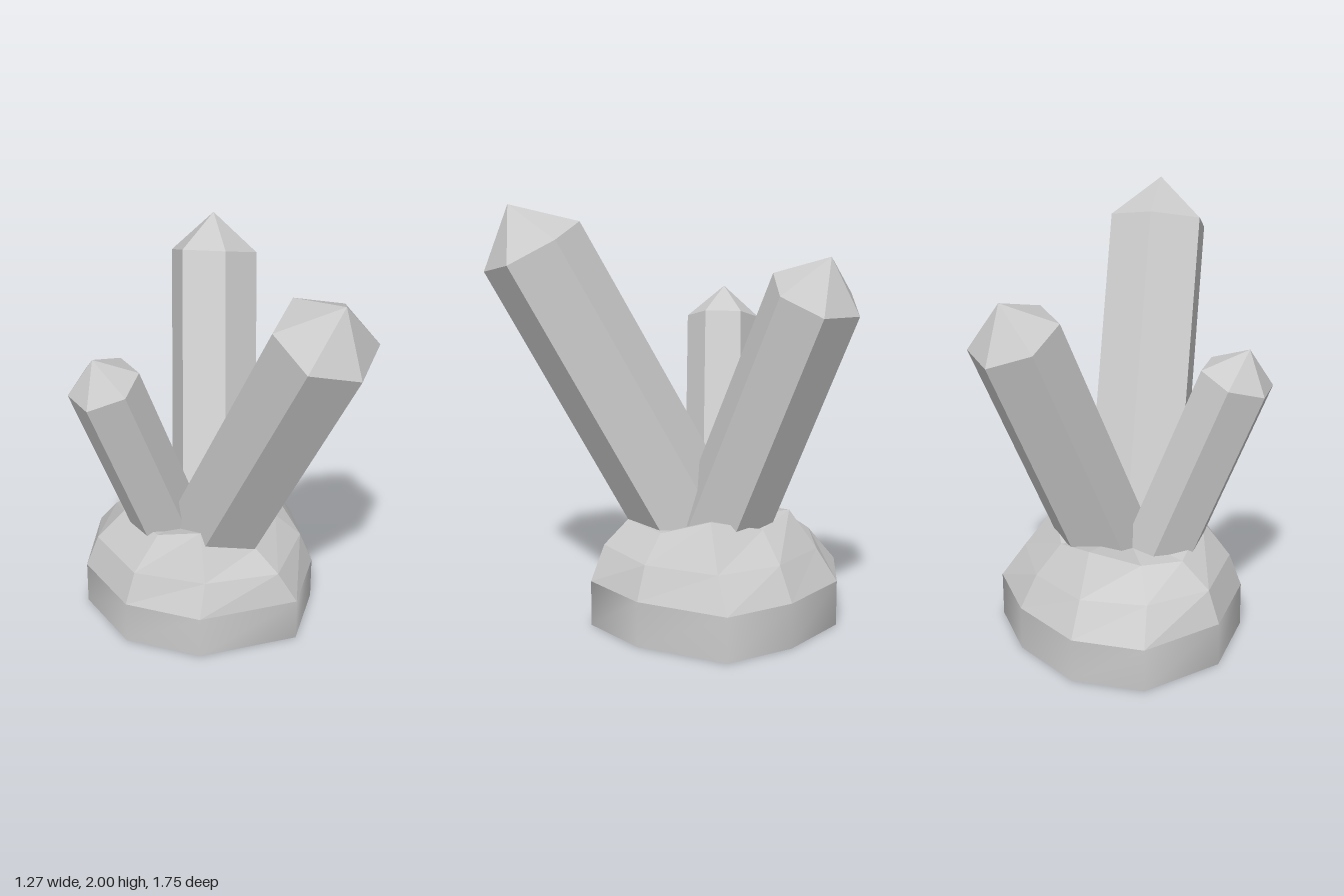
import * as THREE from 'three';

const material = (flatShading) => new THREE.MeshStandardMaterial({ color: 0xcccccc, flatShading });

function makeMesh(name, points, faces, flat = true) {
  let geometry = new THREE.BufferGeometry();
  geometry.setAttribute('position', new THREE.Float32BufferAttribute(points.flat(), 3));
  geometry.setIndex(faces.flat());
  if (flat) geometry = geometry.toNonIndexed();
  geometry.computeVertexNormals();
  const mesh = new THREE.Mesh(geometry, material(flat));
  mesh.name = name;
  return mesh;
}

// Skin between rings of n points, stored one after another from the bottom up
function skin(n, rings) {
  const faces = [];
  for (let r = 0; r < rings - 1; r++) {
    for (let i = 0; i < n; i++) {
      const a = r * n + i, b = r * n + (i + 1) % n;
      faces.push([a, b, b + n], [a, b + n, a + n]);
    }
  }
  return faces;
}

// Triangles from a ring to one point
function fan(n, start, apex, flip = false) {
  return Array.from({ length: n }, (_, i) => {
    const a = start + i, b = start + (i + 1) % n;
    return flip ? [b, a, apex] : [a, b, apex];
  });
}

// Six-sided prism that follows a leaning axis and ends in a pointed tip
function crystal({ name, tip, rim, axis, drop }) {
  const foot = rim.map((p) => p.map((v, k) => v - axis[k] * drop));
  const faces = [...skin(6, 2), ...fan(6, 6, 12), ...fan(6, 0, 13, true)];
  const footCentre = [0, 1, 2].map((k) => foot.reduce((s, p) => s + p[k], 0) / 6);
  return makeMesh(name, [...foot, ...rim, tip, footCentre], faces);
}

const crystals = [
  {
    name: 'frontCrystal', tip: [0.34, 2, 0.76], axis: [0.175, 1, 0.515], drop: 1.45,
    rim: [[0.06, 1.865, 0.63], [0.135, 1.75, 0.835], [0.375, 1.69, 0.87],
      [0.545, 1.75, 0.69], [0.47, 1.865, 0.485], [0.235, 1.92, 0.45]],
  },
  {
    name: 'backCrystal', tip: [0.345, 1.82, -0.745], axis: [0.16, 1, -0.405], drop: 1.3,
    rim: [[0.125, 1.715, -0.6], [0.3, 1.73, -0.475], [0.495, 1.66, -0.55],
      [0.515, 1.575, -0.75], [0.34, 1.56, -0.875], [0.145, 1.63, -0.8]],
  },
  {
    name: 'sideCrystal', tip: [-0.53, 1.52, -0.04], axis: [-0.38, 1, 0.09], drop: 1,
    rim: [[-0.635, 1.325, -0.1], [-0.6, 1.32, 0.07], [-0.43, 1.38, 0.12],
      [-0.32, 1.43, 0], [-0.35, 1.43, -0.17], [-0.51, 1.375, -0.22]],
  },
];

// Nine-sided rock outline, counterclockwise from above: [x, z], and the rim as [x, y, z]
const outline = [[0.02, -0.74], [-0.32, -0.66], [-0.52, -0.29], [-0.45, 0.1], [-0.16, 0.35],
  [0.335, 0.385], [0.55, 0.09], [0.635, -0.36], [0.38, -0.6]];
const shoulder = [[0.03, -0.64], [-0.27, -0.54], [-0.46, -0.28], [-0.395, 0.08], [-0.11, 0.29],
  [0.25, 0.345], [0.49, 0.07], [0.54, -0.29], [0.33, -0.53]];
const rockRim = [[0.05, 0.565, -0.51], [-0.17, 0.5, -0.41], [-0.32, 0.5, -0.28],
  [-0.26, 0.55, 0.05], [-0.09, 0.6, 0.18], [0.17, 0.49, 0.25], [0.37, 0.5, 0.03],
  [0.405, 0.585, -0.22], [0.25, 0.52, -0.43]];

export function createModel() {
  const group = new THREE.Group();
  group.name = 'crystalCluster';
  const n = outline.length;
  const level = (ring, y) => ring.map(([x, z]) => [x, y, z]);
  const ground = level(outline, 0), ledge = level(outline, 0.22);

  // Plinth: smooth wall and flat underside
  group.add(makeMesh('plinthWall', [...ground, ...ledge], skin(n, 2), false));
  group.add(makeMesh('plinthUnderside', [...ground, [0.05, 0, -0.18]], fan(n, 0, n, true)));

  // Faceted rock with a shallow dip on top
  group.add(makeMesh('rock',
    [...ledge, ...level(shoulder, 0.38), ...rockRim, [0.05, 0.49, -0.15]],
    [...skin(n, 3), ...fan(n, 2 * n, 3 * n)]));

  // Crystals
  crystals.forEach((c) => group.add(crystal(c)));
  return group;
}
